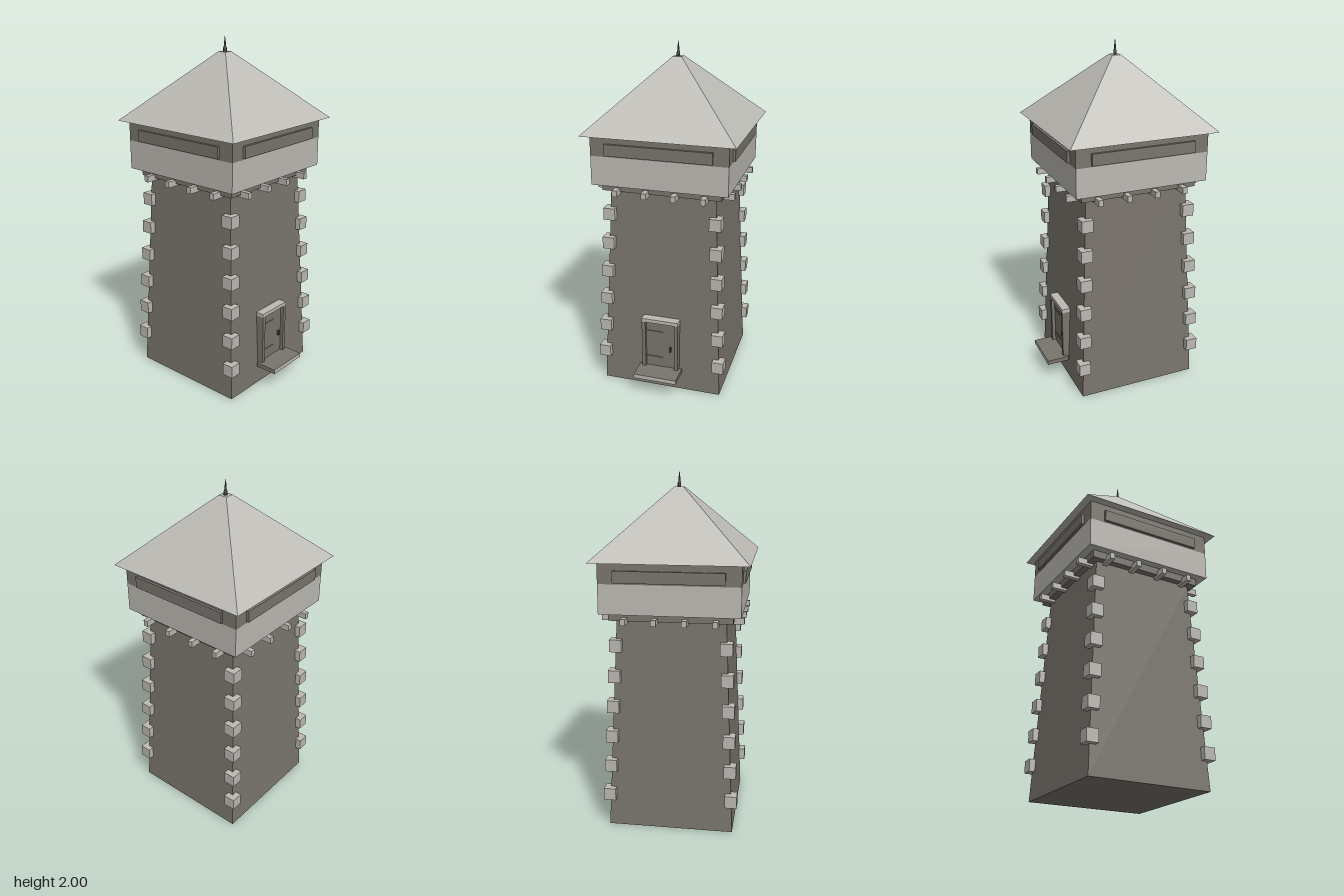
import * as THREE from 'three';

const mat = (name, color) => {
  const m = new THREE.MeshStandardMaterial({ color });
  m.name = name;
  return m;
};

export function createModel() {
  const darkStone = mat('darkStone', 0x79756d);
  const lightStone = mat('lightStone', 0xbbb9b2);
  const roofSlate = mat('roofSlate', 0xbdbcb6);
  const iron = mat('iron', 0x4a4945);

  const model = new THREE.Group();
  const tower = new THREE.Group();
  tower.name = 'tower';
  tower.position.z = -0.03;
  model.add(tower);

  const add = (name, geometry, material, x = 0, y = 0, z = 0, parent = tower) => {
    const mesh = new THREE.Mesh(geometry, material);
    mesh.name = name;
    mesh.position.set(x, y, z);
    parent.add(mesh);
    return mesh;
  };
  const box = (name, w, h, d, material, x, y, z, parent) =>
    add(name, new THREE.BoxGeometry(w, h, d), material, x, y, z, parent);

  // Square frustum standing on y = 0, given half widths
  const frustum = (bottom, top, height) => {
    const g = new THREE.BoxGeometry(2, height, 2);
    g.translate(0, height / 2, 0);
    const p = g.attributes.position;
    for (let i = 0; i < p.count; i++) {
      const s = p.getY(i) > height / 2 ? top : bottom;
      p.setX(i, p.getX(i) * s);
      p.setZ(i, p.getZ(i) * s);
    }
    g.computeVertexNormals();
    return g;
  };

  // Tapered shaft and the floor slab on top of it
  add('shaft', frustum(0.355, 0.302, 1.21), darkStone);
  box('floorSlab', 0.68, 0.045, 0.68, darkStone, 0, 1.23, 0);

  // Guard room: light parapet below, dark wall above
  box('parapet', 0.77, 0.165, 0.77, lightStone, 0, 1.3325, 0);
  box('guardRoomWall', 0.77, 0.12, 0.77, darkStone, 0, 1.475, 0);

  // Pyramid roof and finial
  add('roof', frustum(0.43, 0.026, 0.38), roofSlate, 0, 1.53, 0);
  const finial = [[0, 0], [0.01, 0], [0.01, 0.02], [0.006, 0.03], [0.005, 0.05], [0, 0.09]]
    .map(([r, y]) => new THREE.Vector2(r, y));
  add('finial', new THREE.LatheGeometry(finial, 8), iron, 0, 1.91, 0);

  // Corner stones follow the taper
  for (let i = 0; i < 6; i++) {
    const y = 0.195 + i * 0.174;
    const c = 0.346 - i * 0.008;
    for (const sx of [-1, 1]) for (const sz of [-1, 1]) {
      box('cornerStone', 0.068, 0.07, 0.068, lightStone, sx * c, y, sz * c);
    }
  }

  // Each side carries a window shutter and four corbels
  for (let side = 0; side < 4; side++) {
    const wall = new THREE.Group();
    wall.name = 'wallSide';
    wall.rotation.y = side * Math.PI / 2;
    tower.add(wall);
    box('windowShutter', 0.6, 0.065, 0.03, darkStone, 0, 1.456, 0.385, wall);
    for (const x of [-0.25, -0.083, 0.083, 0.25]) {
      box('corbel', 0.028, 0.035, 0.11, lightStone, x, 1.211, 0.34, wall);
    }
  }

  // Doorway
  const doorway = new THREE.Group();
  doorway.name = 'doorway';
  model.add(doorway);
  for (const s of [-1, 1]) {
    box('doorPost', 0.022, 0.33, 0.055, darkStone, s * 0.098, 0.27, 0.3275, doorway);
    box('stepBracket', 0.02, 0.02, 0.05, darkStone, s * 0.095, 0.107, 0.335, doorway);
  }
  box('lintel', 0.22, 0.022, 0.055, lightStone, 0, 0.445, 0.3275, doorway);
  box('door', 0.174, 0.32, 0.04, darkStone, 0, 0.275, 0.315, doorway);
  for (const y of [0.2, 0.37]) {
    box('hinge', 0.1, 0.008, 0.005, darkStone, -0.035, y, 0.337, doorway);
  }
  box('doorHandle', 0.01, 0.03, 0.015, iron, 0.06, 0.265, 0.341, doorway);

  // Doorstep with a worn dark tread
  box('doorstep', 0.256, 0.025, 0.13, lightStone, 0, 0.1265, 0.394, doorway).material =
    [darkStone, darkStone, darkStone, darkStone, lightStone, darkStone];

  return model;
}
